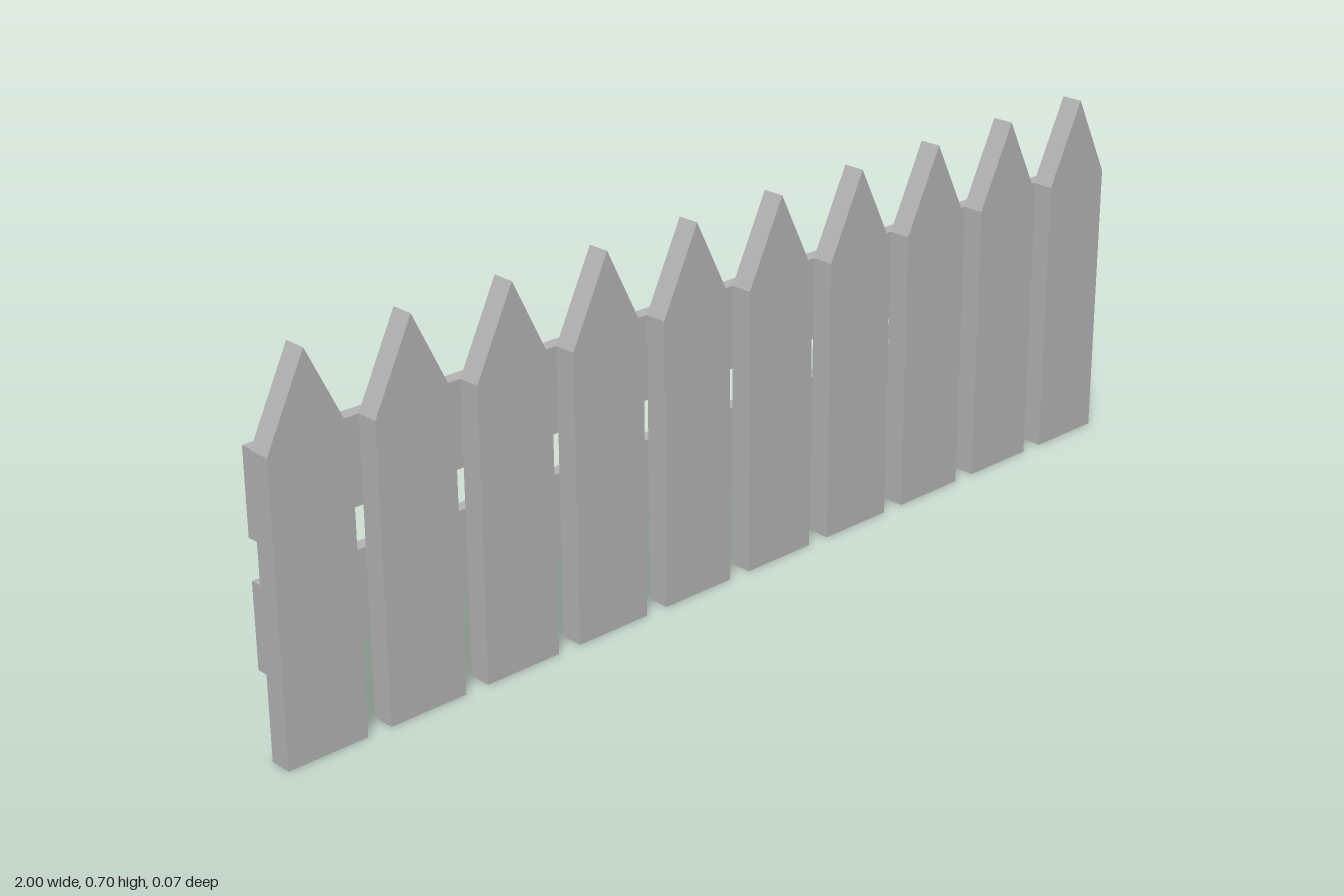
import * as THREE from 'three';

const COUNT = 10, WIDTH = 0.157, SHOULDER = 0.543, PEAK = 0.702;
const FRONT = 0.035, MIDDLE = -0.008, BACK = -0.034;

export function createModel() {
  const fence = new THREE.Group();
  fence.name = 'picketFence';
  const grey = new THREE.MeshStandardMaterial({ color: 0xb2b2b2 });
  grey.name = 'plain grey';

  // Pointed picket outline, extruded from the rail plane to the front
  const outline = new THREE.Shape([
    new THREE.Vector2(-WIDTH / 2, 0),
    new THREE.Vector2(WIDTH / 2, 0),
    new THREE.Vector2(WIDTH / 2, SHOULDER),
    new THREE.Vector2(0, PEAK),
    new THREE.Vector2(-WIDTH / 2, SHOULDER),
  ]);
  const picketGeometry = new THREE.ExtrudeGeometry(outline, { depth: FRONT - MIDDLE, bevelEnabled: false });

  // Row of evenly spaced pickets
  const first = -1 + WIDTH / 2;
  const spacing = (-2 * first) / (COUNT - 1);
  for (let i = 0; i < COUNT; i++) {
    const picket = new THREE.Mesh(picketGeometry, grey);
    picket.name = `picket${i + 1}`;
    picket.position.set(first + i * spacing, 0, MIDDLE);
    fence.add(picket);
  }

  // Two rails behind the pickets, stopping short of the left end
  const railLeft = 0.948, railRight = -0.997;
  const railGeometry = new THREE.BoxGeometry(railLeft - railRight, WIDTH, MIDDLE - BACK);
  for (const [name, y] of [['lowerRail', 0.233], ['upperRail', 0.4645]]) {
    const rail = new THREE.Mesh(railGeometry, grey);
    rail.name = name;
    rail.position.set((railLeft + railRight) / 2, y, (MIDDLE + BACK) / 2);
    fence.add(rail);
  }
  return fence;
}
